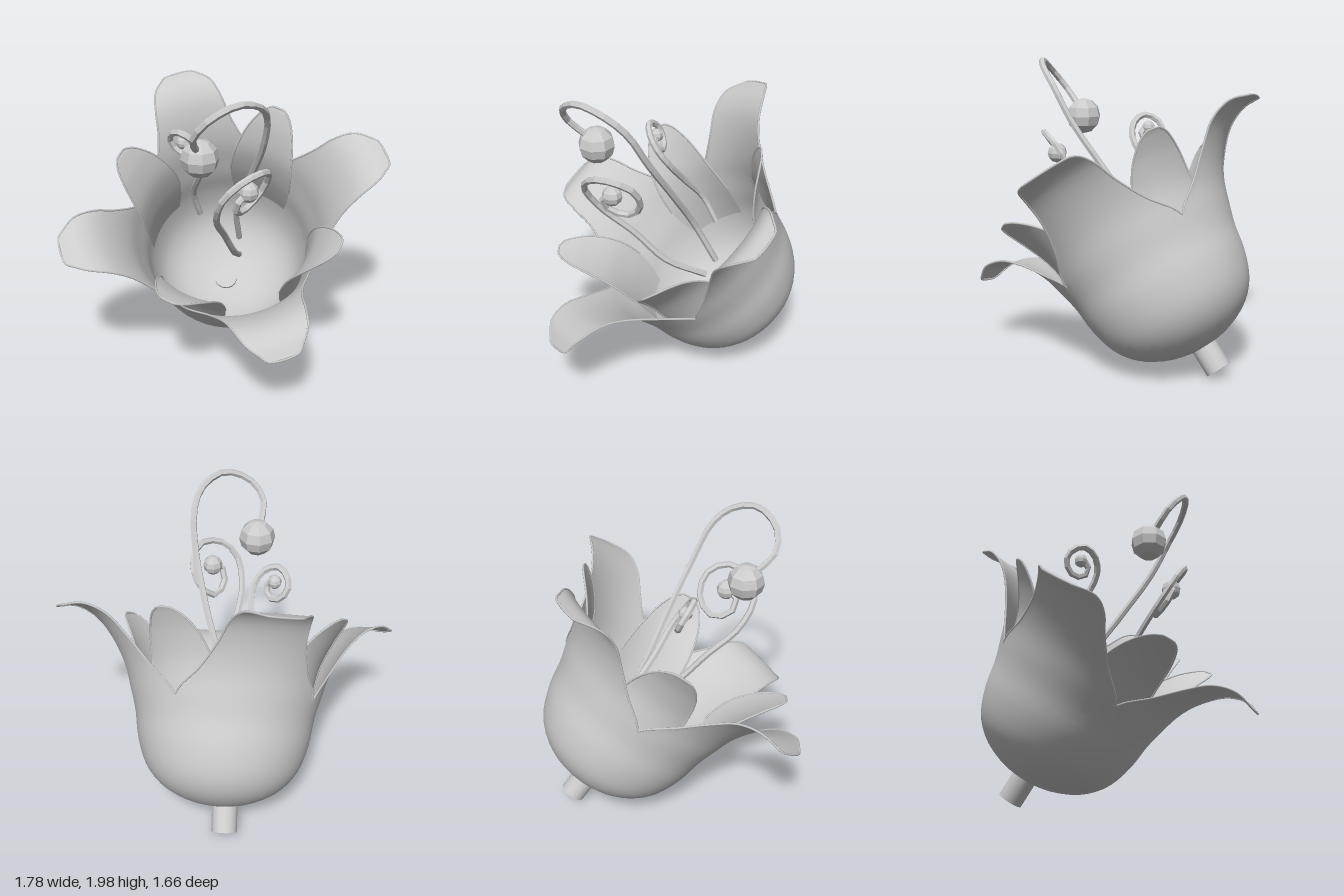
import * as THREE from 'three';
import { mergeGeometries, mergeVertices } from 'three/addons/utils/BufferGeometryUtils.js';

const V = (x, y, z) => new THREE.Vector3(x, y, z);
const smooth = new THREE.MeshStandardMaterial({ color: 0xcccccc, side: THREE.DoubleSide });
const faceted = new THREE.MeshStandardMaterial({ color: 0xcccccc, flatShading: true });

function add(parent, name, geometry, material) {
  const mesh = new THREE.Mesh(geometry, material);
  mesh.name = name;
  parent.add(mesh);
  return mesh;
}

// Petal profiles: radius from the flower axis, height along it, half width
const cupPoint = (r, s) => [r, s, r * Math.PI / 4];
const outerProfile = [
  cupPoint(0.001, 0.01), cupPoint(0.2, 0.045), cupPoint(0.38, 0.135), cupPoint(0.49, 0.26),
  cupPoint(0.555, 0.44), cupPoint(0.582, 0.61), cupPoint(0.62, 0.75),
  [0.675, 0.91, 0.35], [0.77, 1.06, 0.27], [0.88, 1.165, 0.24], [1.0, 1.205, 0.2], [1.11, 1.175, 0.1],
];
const innerProfile = [
  [0.55, 0.45, 0.2], [0.55, 0.6, 0.23], [0.56, 0.76, 0.24], [0.6, 0.95, 0.22],
  [0.69, 1.12, 0.17], [0.77, 1.22, 0.1], [0.8, 1.25, 0.05],
];

// Point on a petal: u runs across (-1..1), t from base to tip; lift raises the tip
function petalPoint(curve, { angle, lift }, u, t) {
  const p = curve.getPoint(t);
  const a = angle + u * Math.min(p.z / p.x, Math.PI / 4);
  const raise = lift * Math.max(0, (t - 0.55) / 0.45);
  return V(p.x * Math.cos(a), p.y + raise, p.x * Math.sin(a));
}

function petalGeometry(curve, petal, across = 12, along = 36) {
  const position = [], index = [];
  for (let j = 0; j <= along; j++) {
    for (let i = 0; i <= across; i++) {
      position.push(...petalPoint(curve, petal, (i / across) * 2 - 1, j / along).toArray());
      if (i < across && j < along) {
        const a = j * (across + 1) + i, b = a + across + 1;
        index.push(a, b, a + 1, b, b + 1, a + 1);
      }
    }
  }
  const g = new THREE.BufferGeometry();
  g.setAttribute('position', new THREE.Float32BufferAttribute(position, 3));
  g.setIndex(index);
  return g;
}

// Rounded lip following a petal's free edge
function rimGeometry(curve, petal, start, steps = 16) {
  const points = [];
  for (const side of [-1, 1]) {
    for (let j = 0; j <= steps; j++) {
      const k = side < 0 ? j : steps - j;
      points.push(petalPoint(curve, petal, side, start + (1 - start) * k / steps));
    }
  }
  return new THREE.TubeGeometry(new THREE.CatmullRomCurve3(points), 64, 0.007, 5);
}

// Four petals around the axis, welded where they touch
function addPetals(parent, name, profile, firstAngle, lifts, rimStart) {
  const curve = new THREE.CatmullRomCurve3(profile.map((p) => V(...p)));
  const petals = lifts.map((lift, k) => ({ angle: firstAngle + k * Math.PI / 2, lift }));
  const sheet = mergeVertices(mergeGeometries(petals.map((p) => petalGeometry(curve, p))), 1e-4);
  sheet.computeVertexNormals();
  add(parent, name, sheet, smooth);
  add(parent, name + 'Rims', mergeGeometries(petals.map((p) => rimGeometry(curve, p, rimStart))), smooth);
}

// Curled filaments, each ending in a ball
const stamens = [
  {
    radius: 0.12, ball: [-0.39, 1.6, 0.08],
    path: [[0.36, 0.72, -0.14], [0.22, 1.02, -0.07], [0.12, 1.3, 0.1], [0, 1.6, 0.28], [-0.1, 1.82, 0.37],
      [-0.22, 1.93, 0.4], [-0.4, 1.98, 0.36], [-0.54, 1.9, 0.25], [-0.55, 1.78, 0.15], [-0.45, 1.67, 0.1]],
  },
  {
    radius: 0.066, ball: [-0.22, 1.38, 0.32],
    path: [[0.3, 0.62, -0.1], [0.05, 0.78, 0.03], [-0.15, 1.0, 0.09], [-0.35, 1.2, 0.17], [-0.42, 1.38, 0.27],
      [-0.35, 1.49, 0.36], [-0.2, 1.52, 0.41], [-0.07, 1.45, 0.37], [-0.05, 1.3, 0.29], [-0.15, 1.21, 0.24],
      [-0.27, 1.25, 0.26], [-0.29, 1.34, 0.3], [-0.24, 1.38, 0.32]],
  },
  {
    radius: 0.045, ball: [-0.09, 1.54, -0.28],
    path: [[0.3, 0.85, -0.44], [0.2, 1.05, -0.42], [0.1, 1.22, -0.3], [0.02, 1.38, -0.18], [-0.06, 1.5, -0.15],
      [-0.12, 1.59, -0.2], [-0.14, 1.62, -0.29], [-0.1, 1.55, -0.38], [-0.06, 1.46, -0.35], [-0.05, 1.44, -0.27],
      [-0.08, 1.48, -0.22], [-0.1, 1.54, -0.26]],
  },
];

export function createModel() {
  const model = new THREE.Group();
  model.name = 'bellFlower';

  // Tilted blossom: local y is the flower axis, local x points at an inner petal
  const axis = V(-0.5, 0.8, 0.32).normalize();
  const zDir = V(0.2, -0.24, 0.95).cross(axis).normalize();
  const xDir = axis.clone().cross(zDir);
  const blossom = new THREE.Group();
  blossom.name = 'blossom';
  blossom.quaternion.setFromRotationMatrix(new THREE.Matrix4().makeBasis(xDir, axis, zDir));
  blossom.position.set(0.6, 0.185, -0.382);
  addPetals(blossom, 'outerPetals', outerProfile, Math.PI / 4, [-0.03, 0.05, 0.04, 0.07], 6 / 11);
  addPetals(blossom, 'innerPetals', innerProfile, 0, [0, 0, 0, 0], 0.3);
  model.add(blossom);

  // Short stem below the cup
  const from = V(0.665, 0.075, -0.47), to = V(0.565, 0.225, -0.4);
  const stem = add(model, 'stem', new THREE.CylinderGeometry(0.085, 0.085, from.distanceTo(to), 14), smooth);
  stem.position.copy(from).lerp(to, 0.5);
  stem.quaternion.setFromUnitVectors(V(0, 1, 0), to.clone().sub(from).normalize());

  stamens.forEach(({ path, ball, radius }, i) => {
    const stamen = new THREE.Group();
    stamen.name = 'stamen' + (i + 1);
    const curve = new THREE.CatmullRomCurve3(path.map((p) => V(...p)));
    add(stamen, 'filament', new THREE.TubeGeometry(curve, 28, 0.022, 6), faceted);
    add(stamen, 'anther', new THREE.SphereGeometry(radius, 8, 6), faceted).position.set(...ball);
    model.add(stamen);
  });
  return model;
}
